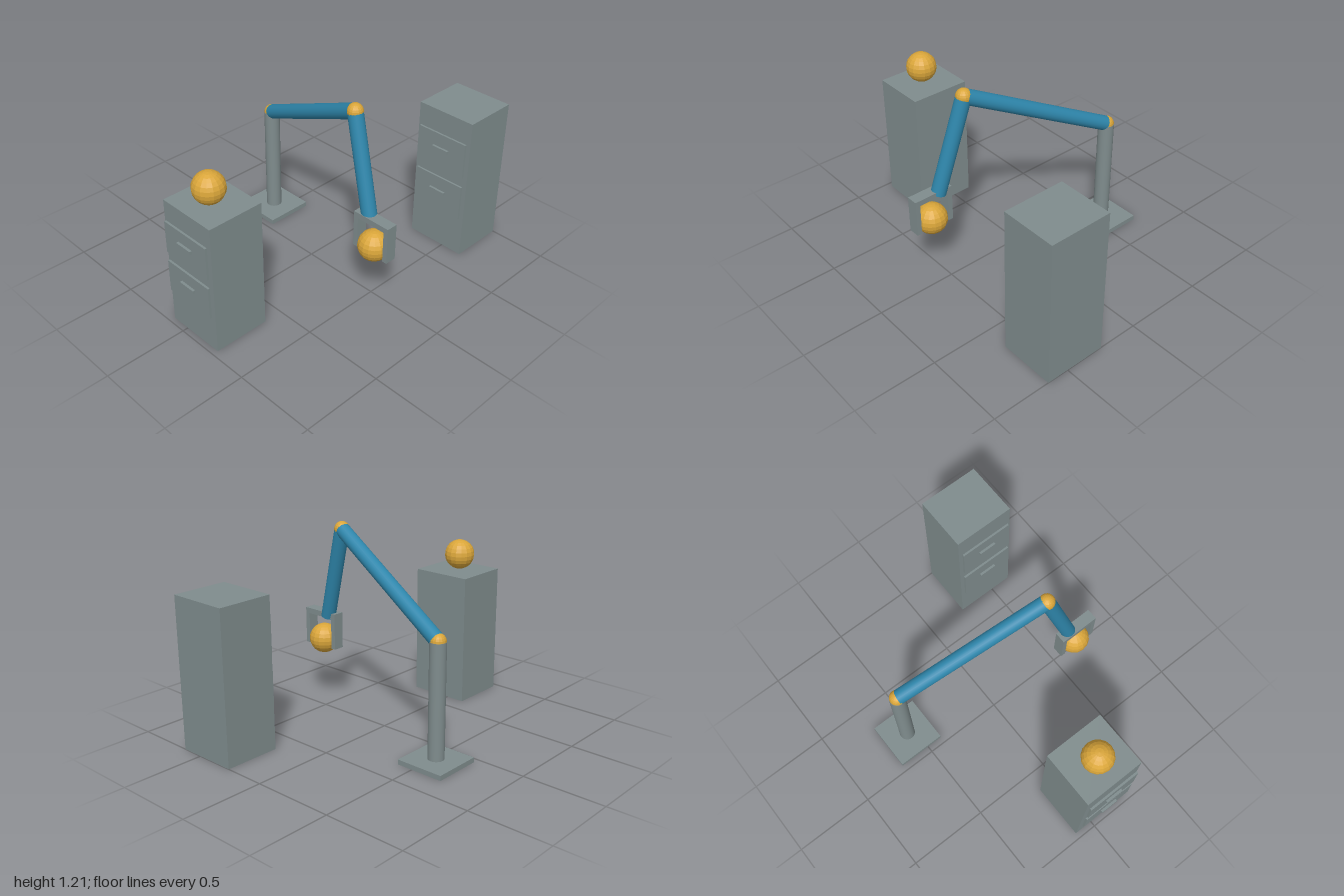
import * as THREE from 'three';

const material = (name, color, flatShading = false) => {
  const m = new THREE.MeshStandardMaterial({ color, flatShading });
  m.name = name;
  return m;
};

export function createModel() {
  const grey = material('steel grey', 0x7f8c8d);
  const blue = material('arm blue', 0x2e86ab);
  const amber = material('ball amber', 0xdaa63a, true);
  const model = new THREE.Group();
  model.name = 'robotArmScene';

  const add = (parent, name, geometry, mat, position) => {
    const mesh = new THREE.Mesh(geometry, mat);
    mesh.name = name;
    mesh.position.copy(position);
    parent.add(mesh);
    return mesh;
  };
  // Box given by its lower and upper corners
  const box = (parent, name, lo, hi) => {
    const a = new THREE.Vector3(...lo), b = new THREE.Vector3(...hi);
    const s = b.clone().sub(a);
    return add(parent, name, new THREE.BoxGeometry(s.x, s.y, s.z), grey, a.add(b).multiplyScalar(0.5));
  };
  // Round bar between two points
  const rod = (parent, name, from, to, radius, mat) => {
    const dir = to.clone().sub(from);
    const mesh = add(parent, name, new THREE.CylinderGeometry(radius, radius, dir.length(), 24), mat,
      from.clone().add(to).multiplyScalar(0.5));
    mesh.quaternion.setFromUnitVectors(new THREE.Vector3(0, 1, 0), dir.normalize());
  };
  const ball = (parent, name, centre, radius) =>
    add(parent, name, new THREE.SphereGeometry(radius, 16, 12), amber, centre);
  const group = (name) => {
    const g = new THREE.Group();
    g.name = name;
    model.add(g);
    return g;
  };

  // Arm: base plate, post, two links and their joints
  const arm = group('arm');
  const foot = new THREE.Vector3(-0.55, 0.03, -0.19);
  const shoulder = new THREE.Vector3(-0.55, 0.716, -0.19);
  const elbow = new THREE.Vector3(0.35, 1.16, 0.017);
  const wrist = new THREE.Vector3(0.52, 0.575, 0.06);
  box(arm, 'basePlate', [-0.7, 0, -0.34], [-0.4, 0.03, -0.04]);
  rod(arm, 'post', foot, shoulder, 0.048, grey);
  rod(arm, 'upperArm', shoulder, elbow, 0.045, blue);
  rod(arm, 'forearm', elbow, wrist, 0.045, blue);
  ball(arm, 'shoulderJoint', shoulder, 0.047);
  ball(arm, 'elbowJoint', elbow, 0.047);

  // Gripper: crossbar with two fingers
  const gripper = group('gripper');
  box(gripper, 'crossbar', [0.444, 0.569, 0.035], [0.694, 0.603, 0.105]);
  for (const [name, x] of [['rightFinger', 0.444], ['leftFinger', 0.664]])
    box(gripper, name, [x, 0.374, 0.035], [x + 0.03, 0.569, 0.105]);

  // Cabinet with two drawer fronts standing just off its face
  const cabinet = (name, lo, hi, drawers) => {
    const g = group(name);
    const x = (lo[0] + hi[0]) / 2, z = hi[2];
    box(g, 'body', lo, hi);
    for (const [y0, y1] of drawers) {
      const y = (y0 + y1) / 2 + 0.018;
      box(g, 'drawerFront', [x - 0.17, y0, z + 0.008], [x + 0.17, y1, z + 0.021]);
      box(g, 'drawerHandle', [x - 0.056, y - 0.01, z + 0.021], [x + 0.056, y + 0.01, z + 0.036]);
    }
  };
  cabinet('frontCabinet', [-0.119, 0, 0.617], [0.261, 0.813, 0.964], [[0.493, 0.695], [0.231, 0.434]]);
  cabinet('backCabinet', [0.253, 0, -1], [0.637, 0.922, -0.655], [[0.555, 0.782], [0.261, 0.49]]);

  // Loose balls: one in the gripper, one on the front cabinet
  ball(model, 'heldBall', new THREE.Vector3(0.569, 0.419, 0.07), 0.094);
  ball(model, 'restingBall', new THREE.Vector3(0.071, 0.908, 0.806), 0.094);
  return model;
}
